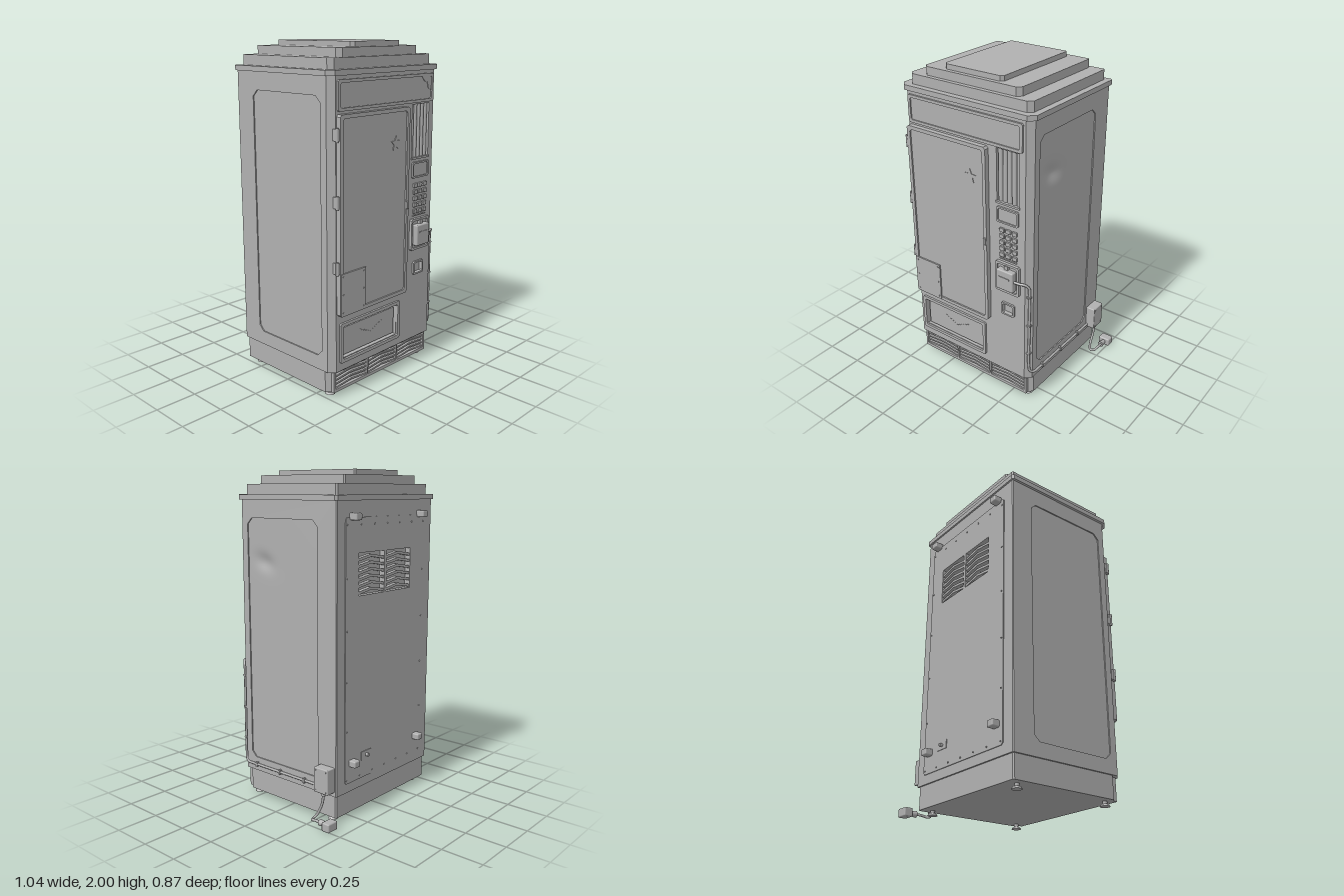
import * as THREE from 'three';
import { RoundedBoxGeometry } from 'three/addons/geometries/RoundedBoxGeometry.js';

const CX = -0.055; // cabinet centre line
const steel = new THREE.MeshStandardMaterial({ color: 0xb0b0b0 });
steel.name = 'grey steel';

function add(parent, name, geo, x = 0, y = 0, z = 0) {
  const m = new THREE.Mesh(geo, steel);
  m.name = name;
  m.position.set(x, y, z);
  parent.add(m);
  return m;
}
function box(parent, name, x0, x1, y0, y1, z0, z1, r = 0) {
  const s = [x1 - x0, y1 - y0, z1 - z0];
  const geo = r ? new RoundedBoxGeometry(...s, 2, r) : new THREE.BoxGeometry(...s);
  return add(parent, name, geo, (x0 + x1) / 2, (y0 + y1) / 2, (z0 + z1) / 2);
}
// rectangle with cut corners
function cutRect(x0, x1, y0, y1, c = 0) {
  const p = c ? [[x0 + c, y0], [x1 - c, y0], [x1, y0 + c], [x1, y1 - c], [x1 - c, y1], [x0 + c, y1], [x0, y1 - c], [x0, y0 + c]]
    : [[x0, y0], [x1, y0], [x1, y1], [x0, y1]];
  return p.map(([x, y]) => new THREE.Vector2(x, y));
}
function slab(outline, holes, depth) {
  const s = new THREE.Shape(outline);
  holes.forEach(h => s.holes.push(new THREE.Path(h)));
  return new THREE.ExtrudeGeometry(s, { depth, bevelEnabled: false });
}
function frame(parent, name, x0, x1, y0, y1, b, z0, z1, c = 0.008) {
  return add(parent, name, slab(cutRect(x0, x1, y0, y1, c), [cutRect(x0 + b, x1 - b, y0 + b, y1 - b, c)], z1 - z0), 0, 0, z0);
}
// upright prism from an (x, z) plan
function prism(parent, name, plan, y0, y1) {
  const geo = slab(plan.map(([x, z]) => new THREE.Vector2(x, -z)), [], y1 - y0);
  return add(parent, name, geo.rotateX(-Math.PI / 2), 0, y0, 0);
}
// plan with large front and small rear corner cuts
function tier(x0, x1, z0, z1, f, b) {
  return [[x0 + b, z0], [x1 - b, z0], [x1, z0 + b], [x1, z1 - f], [x1 - f, z1], [x0 + f, z1], [x0, z1 - f], [x0, z0 + b]];
}
function tube(parent, name, pts, r) {
  const curve = new THREE.CatmullRomCurve3(pts.map(p => new THREE.Vector3(...p)));
  return add(parent, name, new THREE.TubeGeometry(curve, pts.length * 10, r, 8));
}
// bent louvre slats filling one vent bay
function louvres(parent, x0, x1, y0, y1, n, z0, z1) {
  const step = (y1 - y0) / n, xm = (x0 + x1) / 2, h = step * 0.5, t = step * 0.42;
  for (let i = 0; i < n; i++) {
    const y = y0 + i * step;
    const pts = [[x0, y], [xm, y + h], [x1, y], [x1, y + t], [xm, y + h + t], [x0, y + t]];
    add(parent, 'louvreSlat', slab(pts.map(p => new THREE.Vector2(...p)), [], z1 - z0), 0, 0, z0);
  }
}
function screw(parent, x, y, z) {
  add(parent, 'screw', new THREE.CylinderGeometry(0.005, 0.005, 0.006, 8).rotateX(Math.PI / 2), x, y, z);
}

function cabinet(g) {
  // core with corner posts; skins sit in the notches
  const right = [[0.40, -0.355], [0.40, -0.385], [0.445, -0.385], [0.45, -0.38], [0.45, -0.365], [0.42, -0.365],
    [0.42, 0.335], [0.45, 0.335], [0.45, 0.35], [0.415, 0.385], [0.40, 0.385], [0.40, 0.345]];
  const left = right.map(([x, z]) => [-x, z]).reverse();
  prism(g, 'cabinetCore', [...right, ...left].map(([x, z]) => [x + CX, z]), 0.165, 1.83);
  // front skin with openings
  add(g, 'frontSkin', slab(cutRect(CX - 0.4, CX + 0.4, 0.165, 1.83), [
    cutRect(0.165, 0.32, 1.32, 1.635), cutRect(-0.425, 0.048, 0.24, 0.43), cutRect(0.205, 0.28, 0.597, 0.66),
  ], 0.04), 0, 0, 0.345);
  // rear skin with vent opening
  add(g, 'rearSkin', slab(cutRect(CX - 0.4, CX + 0.4, 0.165, 1.83), [cutRect(-0.28, 0.21, 1.305, 1.545)], 0.03), 0, 0, -0.385);
  // side skins with recessed panels
  for (const s of [1, -1]) {
    const skin = slab(cutRect(-0.335, 0.365, 0.165, 1.83).map(p => new THREE.Vector2(s > 0 ? p.x : -p.x, p.y)),
      [cutRect(s > 0 ? -0.305 : -0.245, s > 0 ? 0.245 : 0.305, 0.25, 1.725, 0.035)], 0.03);
    add(g, 'sideSkin', skin.rotateY(s * Math.PI / 2), CX + s * 0.42);
    const panel = new THREE.PlaneGeometry(0.58, 1.5, 40, 100);
    if (s > 0) { // shallow dent
      const p = panel.attributes.position;
      for (let i = 0; i < p.count; i++) {
        const u = p.getX(i) + 0.145, v = p.getY(i) - 0.48;
        const a = (u * 0.94 - v * 0.34) / 0.075, b = (u * 0.34 + v * 0.94) / 0.045;
        p.setZ(i, -0.018 * Math.exp(-a * a - b * b));
      }
      panel.computeVertexNormals();
    }
    add(g, 'sidePanel', panel.rotateY(s * Math.PI / 2), CX + s * 0.443, 0.99, 0.03);
  }
  // stepped roof
  prism(g, 'roofLip', tier(-0.52, 0.41, -0.395, 0.395, 0.037, 0.012), 1.83, 1.86);
  prism(g, 'roofStepLow', tier(-0.478, 0.371, -0.365, 0.357, 0.027, 0.008), 1.86, 1.92);
  prism(g, 'roofStepMiddle', tier(-0.388, 0.28, -0.343, 0.33, 0.025, 0.008), 1.92, 1.97);
  prism(g, 'roofStepTop', tier(-0.257, 0.148, -0.308, 0.303, 0.018, 0.008), 1.97, 2);
}

function base(g) {
  prism(g, 'plinth', tier(-0.495, 0.385, -0.375, 0.345, 0.025, 0.008), 0.03, 0.165);
  const bays = [[-0.455, -0.192], [-0.18, 0.075], [0.087, 0.345]];
  add(g, 'kickPlate', slab(cutRect(-0.47, 0.36, 0.03, 0.165), bays.map(([a, b]) => cutRect(a, b, 0.05, 0.15)), 0.022), 0, 0, 0.345);
  for (const [a, b] of bays) louvres(g, a, b, 0.05, 0.145, 4, 0.345, 0.36);
  for (const x of [-0.44, 0.335]) for (const z of [0.305, -0.31]) {
    add(g, 'footPad', new THREE.CylinderGeometry(0.022, 0.03, 0.012, 16), x, 0.006, z);
    add(g, 'footStem', new THREE.CylinderGeometry(0.013, 0.013, 0.022, 12), x, 0.021, z);
  }
}

function frontFittings(g) {
  // header sign with chipped corner
  frame(g, 'signFrame', -0.46, 0.345, 1.645, 1.81, 0.017, 0.385, 0.397);
  box(g, 'signFace', -0.443, 0.328, 1.662, 1.793, 0.38, 0.389);
  add(g, 'signChip', slab([[0.24, 1.793], [0.265, 1.765], [0.29, 1.76], [0.3, 1.725], [0.328, 1.71], [0.328, 1.793]]
    .map(p => new THREE.Vector2(...p)), [], 0.003), 0, 0, 0.389);
  // display door
  frame(g, 'doorFrame', -0.465, 0.11, 0.505, 1.63, 0.022, 0.385, 0.415, 0.012);
  box(g, 'doorPane', -0.445, 0.09, 0.525, 1.61, 0.38, 0.406);
  for (const y of [0.79, 1.16, 1.525]) {
    box(g, 'hingeLeaf', -0.483, -0.45, y - 0.032, y + 0.032, 0.375, 0.41);
    add(g, 'hingePin', new THREE.CylinderGeometry(0.009, 0.009, 0.075, 10), -0.478, y, 0.403);
  }
  box(g, 'doorLatch', 0.088, 0.108, 1.03, 1.075, 0.41, 0.424, 0.004);
  box(g, 'patchPlate', -0.463, -0.264, 0.512, 0.757, 0.41, 0.419);
  for (const x of [-0.445, -0.28]) for (const y of [0.53, 0.635, 0.74]) screw(g, x, y, 0.42);
  const star = [];
  for (let i = 0; i < 10; i++) {
    const r = i % 2 ? 0.02 : 0.045, a = Math.PI / 2 + i * Math.PI / 5;
    star.push(new THREE.Vector2(r * Math.cos(a), r * Math.sin(a)));
  }
  add(g, 'paneChip', slab(star, [], 0.004), -0.005, 1.43, 0.406);
  // fluted column
  for (let i = 0; i < 5; i++)
    add(g, 'flute', new THREE.CylinderGeometry(0.0155, 0.0155, 0.315, 14), 0.181 + i * 0.031, 1.4775, 0.363);
  box(g, 'fluteSill', 0.16, 0.325, 1.31, 1.322, 0.38, 0.393);
  // display and keypad
  frame(g, 'displayFrame', 0.168, 0.318, 1.197, 1.293, 0.01, 0.385, 0.397);
  box(g, 'displayScreen', 0.178, 0.308, 1.207, 1.283, 0.38, 0.39);
  for (let r = 0; r < 5; r++) for (let c = 0; c < 3; c++) {
    const x = 0.203 + c * 0.044, y = 0.99 + r * 0.04;
    box(g, 'key', x - 0.017, x + 0.017, y - 0.013, y + 0.013, 0.38, 0.396, 0.004);
  }
  box(g, 'keypadSill', 0.185, 0.305, 0.96, 0.967, 0.38, 0.391);
  // payment reader
  frame(g, 'readerFrame', 0.16, 0.328, 0.75, 0.945, 0.014, 0.385, 0.403);
  box(g, 'readerBack', 0.172, 0.316, 0.762, 0.933, 0.38, 0.393);
  box(g, 'readerBody', 0.184, 0.302, 0.78, 0.91, 0.385, 0.428, 0.008);
  box(g, 'readerSlot', 0.205, 0.28, 0.86, 0.868, 0.42, 0.432);
  box(g, 'readerTab', 0.23, 0.255, 0.905, 0.935, 0.385, 0.41);
  // coin return
  frame(g, 'coinReturnFrame', 0.195, 0.29, 0.587, 0.67, 0.01, 0.385, 0.397);
  box(g, 'coinReturnFlap', 0.205, 0.28, 0.597, 0.66, 0.34, 0.372);
  // delivery hatch with scuff marks
  frame(g, 'hatchFrame', -0.445, 0.07, 0.215, 0.455, 0.02, 0.385, 0.398);
  box(g, 'hatchFlap', -0.41, 0.033, 0.252, 0.418, 0.34, 0.377);
  for (let i = 0; i < 11; i++) {
    const x = -0.27 + i * 0.018;
    box(g, 'scuff', x, x + 0.011, 0.325 + Math.abs(i - 5) * 0.008, 0.329 + Math.abs(i - 5) * 0.008, 0.376, 0.379);
  }
}

function rear(g) {
  add(g, 'rearPanel', slab(cutRect(-0.425, 0.325, 0.22, 1.74, 0.012), [cutRect(-0.28, 0.21, 1.305, 1.545)], 0.005), 0, 0, -0.39);
  box(g, 'ventDivider', -0.045, -0.025, 1.305, 1.545, -0.39, -0.355);
  louvres(g, -0.28, -0.045, 1.31, 1.535, 6, -0.386, -0.36);
  louvres(g, -0.025, 0.21, 1.31, 1.535, 6, -0.386, -0.36);
  for (const x of [-0.372, 0.264]) for (const y of [0.34, 1.745])
    box(g, 'wallBumper', x - 0.026, x + 0.026, y - 0.02, y + 0.02, -0.436, -0.38, 0.008);
  for (let i = 0; i < 7; i++) for (const y of [0.24, 1.7]) screw(g, -0.41 + i * 0.12, y, -0.391);
  for (let i = 1; i < 5; i++) for (const x of [-0.41, 0.31]) screw(g, x, 0.24 + i * 0.292, -0.391);
  box(g, 'lockPlate', 0.09, 0.18, 0.33, 0.38, -0.394, -0.388);
  add(g, 'lockKnob', new THREE.CylinderGeometry(0.01, 0.01, 0.025, 10).rotateX(Math.PI / 2), 0.133, 0.355, -0.4);
}

function wiring(g) {
  tube(g, 'readerCable', [[0.295, 0.848, 0.408], [0.34, 0.848, 0.404], [0.365, 0.845, 0.392], [0.381, 0.82, 0.373],
    [0.383, 0.78, 0.37], [0.383, 0.5, 0.37], [0.383, 0.26, 0.37], [0.388, 0.22, 0.362], [0.4, 0.207, 0.335],
    [0.402, 0.207, 0.28], [0.402, 0.207, 0], [0.402, 0.207, -0.27]], 0.008);
  for (const y of [0.35, 0.55, 0.75]) box(g, 'cableClip', 0.366, 0.392, y, y + 0.012, 0.355, 0.38, 0.003);
  for (const z of [0.25, 0.05, -0.15]) box(g, 'cableClip', 0.39, 0.412, 0.192, 0.222, z, z + 0.014, 0.003);
  box(g, 'junctionBox', 0.39, 0.455, 0.19, 0.34, -0.37, -0.265, 0.006);
  for (const y of [0.205, 0.325]) for (const z of [-0.355, -0.28])
    add(g, 'screw', new THREE.CylinderGeometry(0.005, 0.005, 0.006, 8).rotateZ(Math.PI / 2), 0.455, y, z);
  // power lead and plug
  add(g, 'cableGland', new THREE.CylinderGeometry(0.014, 0.014, 0.02, 12), 0.43, 0.182, -0.32);
  tube(g, 'powerLead', [[0.43, 0.185, -0.32], [0.43, 0.12, -0.308], [0.432, 0.05, -0.275], [0.445, 0.022, -0.257],
    [0.468, 0.022, -0.265], [0.478, 0.03, -0.3], [0.478, 0.03, -0.345]], 0.008);
  add(g, 'plugNeck', new THREE.CylinderGeometry(0.012, 0.02, 0.05, 12).rotateX(Math.PI / 2).rotateY(Math.PI), 0.478, 0.03, -0.36);
  box(g, 'plug', 0.439, 0.517, 0.004, 0.056, -0.432, -0.377, 0.008);
}

export function createModel() {
  const root = new THREE.Group();
  root.name = 'vendingMachine';
  const parts = { cabinet, base, frontFittings, rear, wiring };
  for (const [name, build] of Object.entries(parts)) {
    const g = new THREE.Group();
    g.name = name;
    build(g);
    root.add(g);
  }
  return root;
}
